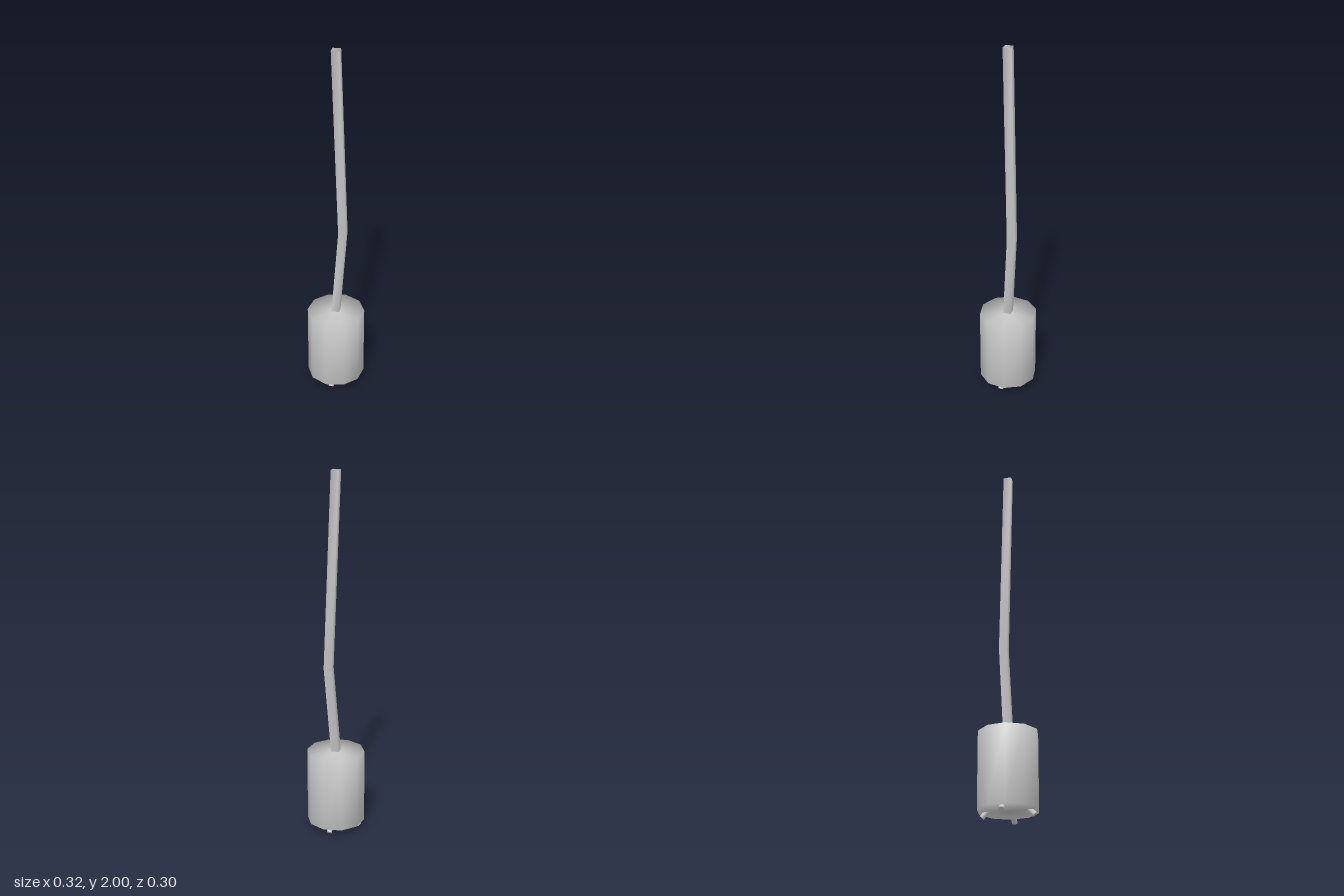
import * as THREE from 'three';
import { mergeVertices } from 'three/addons/utils/BufferGeometryUtils.js';

const material = new THREE.MeshStandardMaterial({ color: 0xcccccc, side: THREE.DoubleSide });

// Weld shared corners so shading flows over the edges.
function smooth(geometry) {
  geometry.deleteAttribute('normal');
  geometry.deleteAttribute('uv');
  const welded = mergeVertices(geometry, 1e-4);
  welded.computeVertexNormals();
  return welded;
}

function part(name, geometry) {
  const mesh = new THREE.Mesh(geometry, material);
  mesh.name = name;
  return mesh;
}

export function createModel() {
  const group = new THREE.Group();
  group.name = 'cabledSocket';

  // Ten-sided body with corners on the x axis
  const body = new THREE.CylinderGeometry(0.16, 0.16, 0.415, 10);
  body.rotateY(Math.PI / 2).translate(0, 0.2425, 0);
  group.add(part('body', smooth(body)));

  // Open four-sided cable: straight rings moved to the bent centre line
  const rings = [[0, 0.445], [0.045, 0.94], [0, 2]];
  const cable = new THREE.CylinderGeometry(0.031, 0.031, 2, 4, 2, true);
  const p = cable.attributes.position;
  for (let i = 0; i < p.count; i++) {
    const [x, y] = rings[Math.round(p.getY(i)) + 1];
    p.setX(i, p.getX(i) + x);
    p.setY(i, y);
  }
  group.add(part('cable', smooth(cable)));

  // Four short pins splayed outward along the diagonals
  for (const sx of [-1, 1]) {
    for (const sz of [-1, 1]) {
      const top = new THREE.Vector3(sx * 0.07, 0.05, sz * 0.07);
      const end = new THREE.Vector3(sx * 0.097, 0.01, sz * 0.097);
      const axis = end.clone().sub(top);
      const pin = part('pin', new THREE.CylinderGeometry(0.015, 0.015, axis.length(), 8));
      pin.position.addVectors(top, end).multiplyScalar(0.5);
      pin.quaternion.setFromUnitVectors(new THREE.Vector3(0, -1, 0), axis.normalize());
      group.add(pin);
    }
  }

  return group;
}
